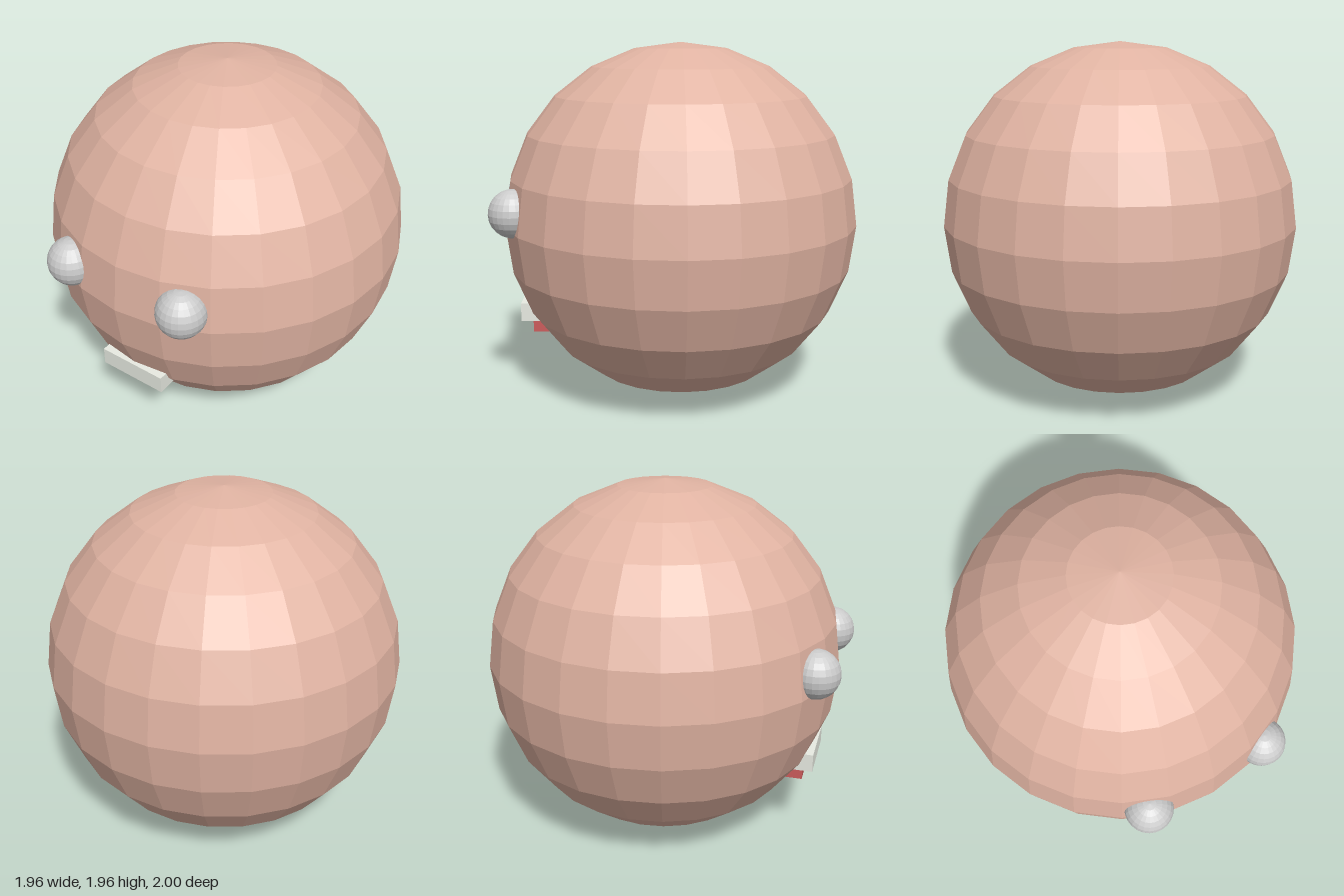
import * as THREE from 'three';

export function createModel() {
  const model = new THREE.Group();

  function addPart(name, geometry, color, x, y, z) {
    const material = new THREE.MeshStandardMaterial({ color, flatShading: true });
    const mesh = new THREE.Mesh(geometry, material);
    mesh.name = name;
    mesh.position.set(x, y, z);
    model.add(mesh);
  }

  // Faceted round head
  addPart('head', new THREE.SphereGeometry(0.98, 24, 12), 0xe0b3a2, 0, 0.98, -0.02);

  // Eyes, half sunk into the face
  for (const [name, side] of [['leftEye', 1], ['rightEye', -1]]) {
    addPart(name, new THREE.SphereGeometry(0.13, 24, 12), 0xcccccc, side * 0.35, 1.08, 0.87);
  }

  // Mouth: pale teeth above a narrower red lip
  addPart('teeth', new THREE.BoxGeometry(0.39, 0.1, 0.2), 0xe8ebe2, 0, 0.49, 0.77);
  addPart('lowerLip', new THREE.BoxGeometry(0.29, 0.08, 0.2), 0xcc5c5c, 0, 0.4, 0.71);

  return model;
}
